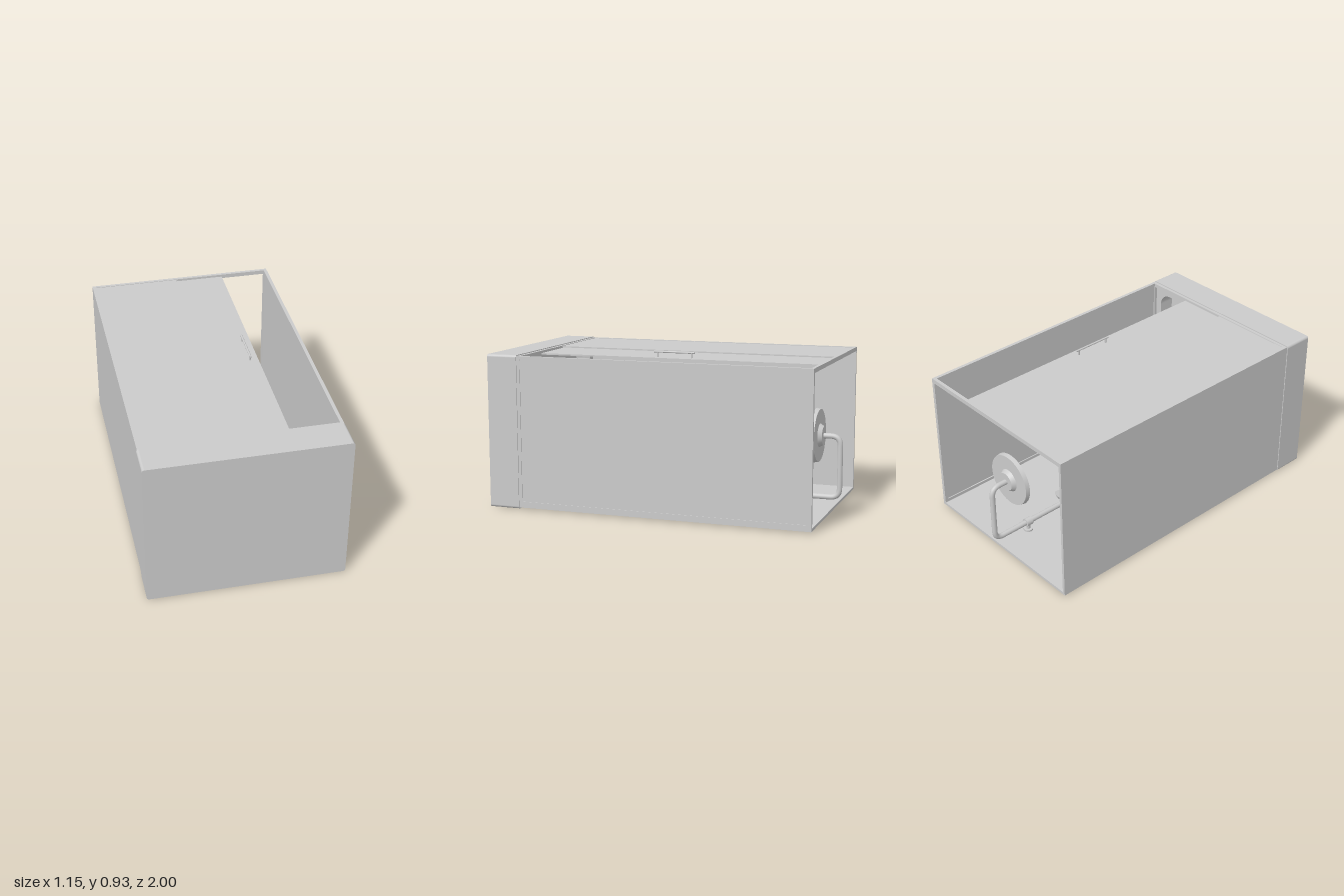
import * as THREE from 'three';

const mat = new THREE.MeshStandardMaterial({ color: 0xcccccc, side: THREE.DoubleSide });

function add(parent, name, geo, x = 0, y = 0, z = 0) {
  const m = new THREE.Mesh(geo, mat);
  m.name = name;
  m.position.set(x, y, z);
  parent.add(m);
  return m;
}

// Box given by its minimum and maximum corners
function block(parent, name, [x0, x1], [y0, y1], [z0, z1]) {
  return add(parent, name, new THREE.BoxGeometry(x1 - x0, y1 - y0, z1 - z0),
    (x0 + x1) / 2, (y0 + y1) / 2, (z0 + z1) / 2);
}

// Cylinder lying along z
function discZ(parent, name, r0, r1, len, x, y, z, seg = 40) {
  const m = add(parent, name, new THREE.CylinderGeometry(r0, r1, len, seg), x, y, z);
  m.rotation.x = Math.PI / 2;
  return m;
}

function roundRect(path, w, h, r, cy) {
  const x = w / 2, y = h / 2, q = Math.PI / 2;
  path.absarc(x - r, cy + y - r, r, 0, q);
  path.absarc(-x + r, cy + y - r, r, q, 2 * q);
  path.absarc(-x + r, cy - y + r, r, 2 * q, 3 * q);
  path.absarc(x - r, cy - y + r, r, 3 * q, 4 * q);
  path.closePath();
  return path;
}

function tube(parent, name, pts, r, seg = 48) {
  const curve = new THREE.CatmullRomCurve3(pts.map(p => new THREE.Vector3(...p)), false, 'centripetal');
  return add(parent, name, new THREE.TubeGeometry(curve, seg, r, 14), 0, 0, 0);
}

export function createModel() {
  const root = new THREE.Group();
  root.name = 'showerCabin';
  const Z0 = -0.95, Z1 = 0.815, X = 0.57, TOP = 0.907;

  // Tray: rim with rounded basin opening, closed by a base slab
  const tray = new THREE.Group();
  tray.name = 'tray';
  root.add(tray);
  const rim = roundRect(new THREE.Shape(), 1.15, 0.912, 0.015, 0.456);
  rim.holes.push(roundRect(new THREE.Path(), 1.02, 0.78, 0.08, 0.456));
  add(tray, 'trayRim', new THREE.ExtrudeGeometry(rim, { depth: 0.1, bevelEnabled: false, curveSegments: 10 }), 0, 0, Z1);
  const base = roundRect(new THREE.Shape(), 1.15, 0.912, 0.015, 0.456);
  add(tray, 'trayBase', new THREE.ExtrudeGeometry(base, { depth: 1 - Z1 - 0.1, bevelEnabled: false, curveSegments: 10 }), 0, 0, Z1 + 0.1);
  discZ(tray, 'drain', 0.05, 0.05, 0.01, 0, 0.456, Z1 + 0.097);

  // Two solid walls
  block(root, 'backWall', [-X, X], [0.008, 0.024], [Z0, Z1]);
  block(root, 'sideWall', [-X, -X + 0.016], [0.024, TOP], [Z0, Z1]);

  // Glazed side: frame and slightly recessed pane
  const side = new THREE.Group();
  side.name = 'glazedSide';
  root.add(side);
  for (const y of [0.024, TOP - 0.02]) block(side, 'sideFrameRail', [X - 0.02, X], [y, y + 0.02], [Z0, Z1]);
  for (const z of [Z0, Z1 - 0.02]) block(side, 'sideFramePost', [X - 0.02, X], [0.044, TOP - 0.02], [z, z + 0.02]);
  block(side, 'sidePane', [X - 0.013, X - 0.004], [0.044, TOP - 0.02], [Z0 + 0.02, Z1 - 0.02]);

  // Door side: frame, fixed pane and sliding door standing partly open
  const front = new THREE.Group();
  front.name = 'doorSide';
  root.add(front);
  for (const z of [Z0, Z1 - 0.02]) block(front, 'doorTrack', [-X + 0.016, X - 0.02], [TOP - 0.025, TOP], [z, z + 0.02]);
  block(front, 'doorFramePost', [-X + 0.016, -X + 0.024], [TOP - 0.025, TOP], [Z0 + 0.02, Z1 - 0.02]);
  block(front, 'fixedPane', [-X + 0.024, -0.03], [TOP - 0.011, TOP - 0.003], [Z0 + 0.02, Z1 - 0.02]);
  block(front, 'slidingDoor', [-0.32, 0.27], [TOP - 0.023, TOP - 0.014], [Z0 + 0.02, Z1 - 0.02]);

  // Door handle
  const handle = new THREE.Group();
  handle.name = 'doorHandle';
  front.add(handle);
  discZ(handle, 'handleBar', 0.006, 0.006, 0.25, 0.22, 0.924, -0.035, 16);
  for (const z of [-0.14, 0.07]) add(handle, 'handlePost', new THREE.CylinderGeometry(0.005, 0.005, 0.04, 12), 0.22, 0.904, z);

  // Riser pipe with bent arm
  const shower = new THREE.Group();
  shower.name = 'shower';
  root.add(shower);
  const px = 0.01, py = 0.082, pz = -0.983, b = 0.055;
  const path = new THREE.CurvePath();
  const v = (y, z) => new THREE.Vector3(px, y, z);
  path.add(new THREE.LineCurve3(v(py, 0.12), v(py, pz + b)));
  path.add(new THREE.QuadraticBezierCurve3(v(py, pz + b), v(py, pz), v(py + b, pz)));
  path.add(new THREE.LineCurve3(v(py + b, pz), v(0.445 - b, pz)));
  path.add(new THREE.QuadraticBezierCurve3(v(0.445 - b, pz), v(0.445, pz), v(0.445, pz + b)));
  path.add(new THREE.LineCurve3(v(0.445, pz + b), v(0.445, -0.86)));
  add(shower, 'riserPipe', new THREE.TubeGeometry(path, 160, 0.016, 16));

  // Overhead rose with nozzles in rings
  const rose = new THREE.Group();
  rose.name = 'showerRose';
  shower.add(rose);
  discZ(rose, 'roseHub', 0.07, 0.055, 0.025, px, 0.445, -0.872);
  discZ(rose, 'rosePlate', 0.16, 0.155, 0.025, px, 0.445, -0.848, 56);
  for (let ring = 0; ring < 5; ring++) {
    const n = ring ? ring * 7 : 1;
    for (let i = 0; i < n; i++) {
      const a = i / n * Math.PI * 2, r = ring * 0.032;
      discZ(rose, 'nozzle', 0.004, 0.005, 0.008, px + r * Math.cos(a), 0.445 + r * Math.sin(a), -0.833, 8);
    }
  }

  // Wall bracket
  const bracket = new THREE.Group();
  bracket.name = 'wallBracket';
  shower.add(bracket);
  discZ(bracket, 'bracketCollar', 0.025, 0.025, 0.04, px, py, -0.74, 20);
  add(bracket, 'bracketLeg', new THREE.CylinderGeometry(0.012, 0.012, 0.06, 16), px, 0.052, -0.74);
  add(bracket, 'bracketFoot', new THREE.CylinderGeometry(0.028, 0.028, 0.012, 20), px, 0.029, -0.74);

  // Hand shower in its slider
  const hand = new THREE.Group();
  hand.name = 'handShower';
  shower.add(hand);
  discZ(hand, 'slider', 0.026, 0.026, 0.06, px, py, -0.4, 20);
  add(hand, 'sliderArm', new THREE.CylinderGeometry(0.012, 0.012, 0.05, 14), px, py + 0.02, -0.4);
  const head = add(hand, 'handHead', new THREE.CylinderGeometry(0.058, 0.04, 0.022, 32), px, py + 0.045, -0.46);
  head.rotation.x = 0.25;
  tube(hand, 'handGrip', [[px, py + 0.04, -0.45], [px, py + 0.04, -0.4], [px, py + 0.025, -0.22]], 0.012, 20);
  tube(hand, 'hose', [[px, py + 0.025, -0.22], [px + 0.02, py + 0.02, -0.05], [px + 0.08, py, 0.25],
    [px + 0.1, py, 0.4], [px + 0.04, py, 0.42], [px, py, 0.3], [px, py, 0.14]], 0.008, 70);

  // Mixer valve
  const mixer = new THREE.Group();
  mixer.name = 'mixerValve';
  shower.add(mixer);
  add(mixer, 'mixerBody', new THREE.CylinderGeometry(0.026, 0.026, 0.26, 24), px, py, 0.13).rotation.z = Math.PI / 2;
  for (const s of [-1, 1]) {
    add(mixer, 'mixerKnob', new THREE.CylinderGeometry(0.031, 0.031, 0.05, 24), px + s * 0.15, py, 0.13).rotation.z = Math.PI / 2;
    add(mixer, 'mixerInlet', new THREE.CylinderGeometry(0.018, 0.03, 0.06, 20), px + s * 0.08, 0.052, 0.13);
  }
  return root;
}
